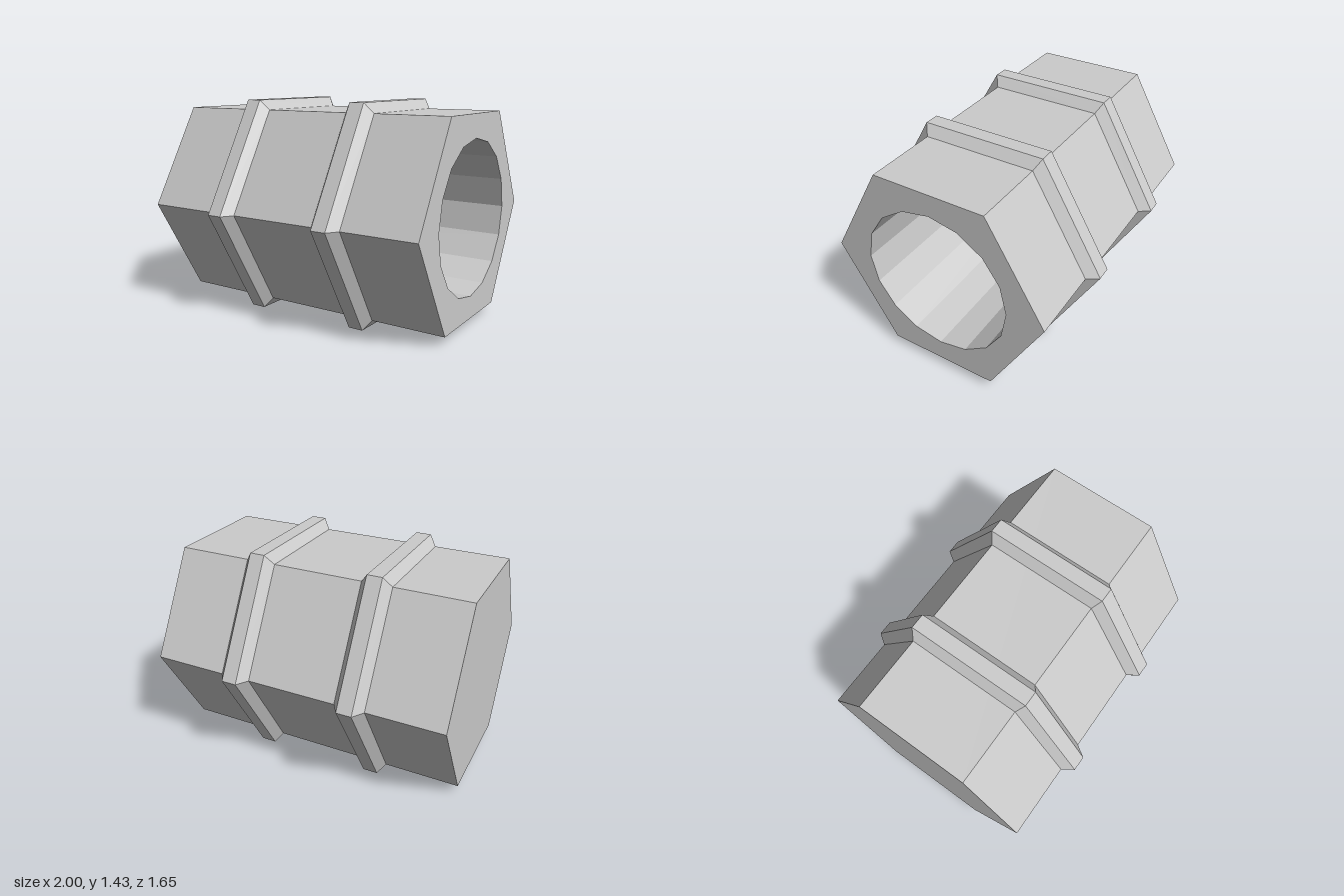
import * as THREE from 'three';

const BODY_R = 0.75, RING_R = 0.825, BORE_R = 0.5;
const BORE_FLOOR = -0.8; // x of the closed bottom of the bore
const CENTRE_Y = RING_R * Math.sqrt(3) / 2;

export function createModel() {
  const group = new THREE.Group();
  group.name = 'hexSocket';
  const material = new THREE.MeshStandardMaterial({ color: 0xcccccc, flatShading: true });

  const add = (name, geometry) => {
    const mesh = new THREE.Mesh(geometry, material);
    mesh.name = name;
    mesh.position.y = CENTRE_Y;
    group.add(mesh);
    return mesh;
  };

  // Faceted solid around the x axis from [radius, x] pairs
  const turned = (profile, sides) =>
    new THREE.LatheGeometry(profile.map(([r, x]) => new THREE.Vector2(r, x)), sides)
      .rotateZ(-Math.PI / 2);

  // Regular polygon outline with a corner on the first axis
  const polygon = (r, sides) => Array.from({ length: sides }, (_, i) => {
    const a = (i / sides) * Math.PI * 2;
    return new THREE.Vector2(Math.cos(a) * r, Math.sin(a) * r);
  });

  // Hexagonal body, closed at the left-hand (-x) end
  add('body', turned([[0, -1], [BODY_R, -1], [BODY_R, 1]], 6));

  // Open end face around the bore
  const rim = new THREE.Shape(polygon(BODY_R, 6));
  rim.holes.push(new THREE.Path(polygon(BORE_R, 16)));
  add('rim', new THREE.ShapeGeometry(rim).rotateY(Math.PI / 2).translate(1, 0, 0));

  // Sixteen-sided blind bore, facing inward
  add('bore', turned([[BORE_R, 1], [BORE_R, BORE_FLOOR], [0, BORE_FLOOR]], 16));

  // Two bevelled hexagonal bands
  const band = turned([[BODY_R, -0.1], [RING_R, -0.05], [RING_R, 0.05], [BODY_R, 0.1]], 6);
  for (const [name, x] of [['rightBand', -0.4], ['leftBand', 0.4]]) add(name, band).position.x = x;

  return group;
}
